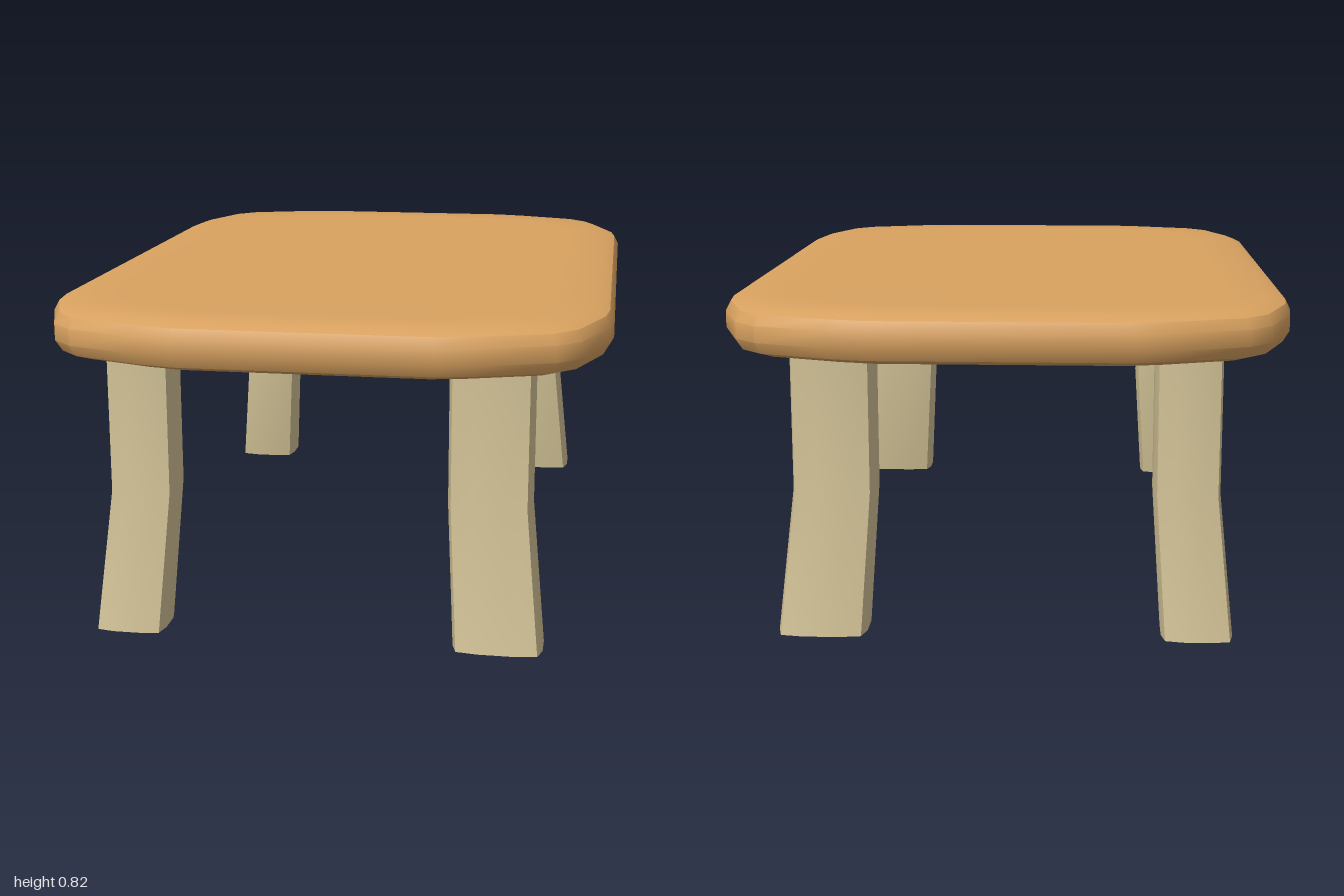
import * as THREE from 'three';
import { toCreasedNormals } from 'three/addons/utils/BufferGeometryUtils.js';

// Mirror one quarter outline (from the x axis round to the z axis) into a closed loop
function fullLoop(quarter) {
  const back = [...quarter].reverse();
  return [
    ...quarter,
    ...back.map(([x, z]) => [-x, z]),
    ...quarter.map(([x, z]) => [-x, -z]),
    ...back.map(([x, z]) => [x, -z]),
  ];
}

// Skin a stack of scaled loops, bottom to top, and close both ends
function loft(loop, rings, crease) {
  const n = loop.length, pos = [], index = [];
  for (const { x = 0, z = 0, y, sx, sz } of rings) {
    for (const [px, pz] of loop) pos.push(x + px * sx, y, z + pz * sz);
  }
  for (let j = 0; j < rings.length - 1; j++) {
    for (let i = 0; i < n; i++) {
      const a = j * n + i, b = j * n + (i + 1) % n;
      index.push(a, a + n, b, b, a + n, b + n);
    }
  }
  const last = rings.length - 1, first = rings[0], top = rings[last];
  const c = rings.length * n;
  pos.push(first.x ?? 0, first.y, first.z ?? 0, top.x ?? 0, top.y, top.z ?? 0);
  for (let i = 0; i < n; i++) {
    const k = (i + 1) % n;
    index.push(c, i, k, c + 1, last * n + k, last * n + i);
  }
  const geo = new THREE.BufferGeometry();
  geo.setAttribute('position', new THREE.Float32BufferAttribute(pos, 3));
  geo.setIndex(index);
  return toCreasedNormals(geo, crease);
}

export function createModel() {
  const table = new THREE.Group();
  table.name = 'table';
  const topWood = new THREE.MeshStandardMaterial({ color: 0xd9a260 });
  topWood.name = 'warm wood';
  const legWood = new THREE.MeshStandardMaterial({ color: 0xd2c296 });
  legWood.name = 'pale wood';

  // Tabletop: faceted rounded outline with a bulging rim, as [inset, y]
  const outline = fullLoop([
    [0.70, 0.62], [0.69, 0.70], [0.63, 0.865], [0.575, 0.92], [0.40, 0.98], [0.31, 1.0],
  ]);
  const rim = [
    [0.15, 0.70], [0.045, 0.70], [0.015, 0.712], [0, 0.74],
    [0, 0.78], [0.012, 0.805], [0.045, 0.819], [0.15, 0.82],
  ];
  const tabletop = new THREE.Mesh(
    loft(outline, rim.map(([d, y]) => ({ y, sx: 1 - d / 0.7, sz: 1 - d })), 0.6), topWood);
  tabletop.name = 'tabletop';
  table.add(tabletop);

  // Legs: softly bowed square section, straight above the knee, splayed below
  const section = fullLoop([[1, 0.4], [0.9, 0.9], [0.4, 1]]);
  const spansX = {
    Left: { foot: [0.338, 0.558], upper: [0.317, 0.522] },
    Right: { foot: [-0.562, -0.387], upper: [-0.528, -0.364] },
  };
  const spansZ = {
    front: { foot: [0.722, 0.877], upper: [0.68, 0.822] },
    back: { foot: [-0.872, -0.702], upper: [-0.818, -0.658] },
  };
  const ring = (y, [x0, x1], [z0, z1]) => ({
    y, x: (x0 + x1) / 2, z: (z0 + z1) / 2, sx: (x1 - x0) / 2, sz: (z1 - z0) / 2,
  });
  for (const [end, sz] of Object.entries(spansZ)) {
    for (const [side, sx] of Object.entries(spansX)) {
      const leg = new THREE.Mesh(loft(section, [
        ring(0, sx.foot, sz.foot),
        ring(0.35, sx.upper, sz.upper),
        ring(0.71, sx.upper, sz.upper),
      ], 0.6), legWood);
      leg.name = `${end}${side}Leg`;
      table.add(leg);
    }
  }
  return table;
}
